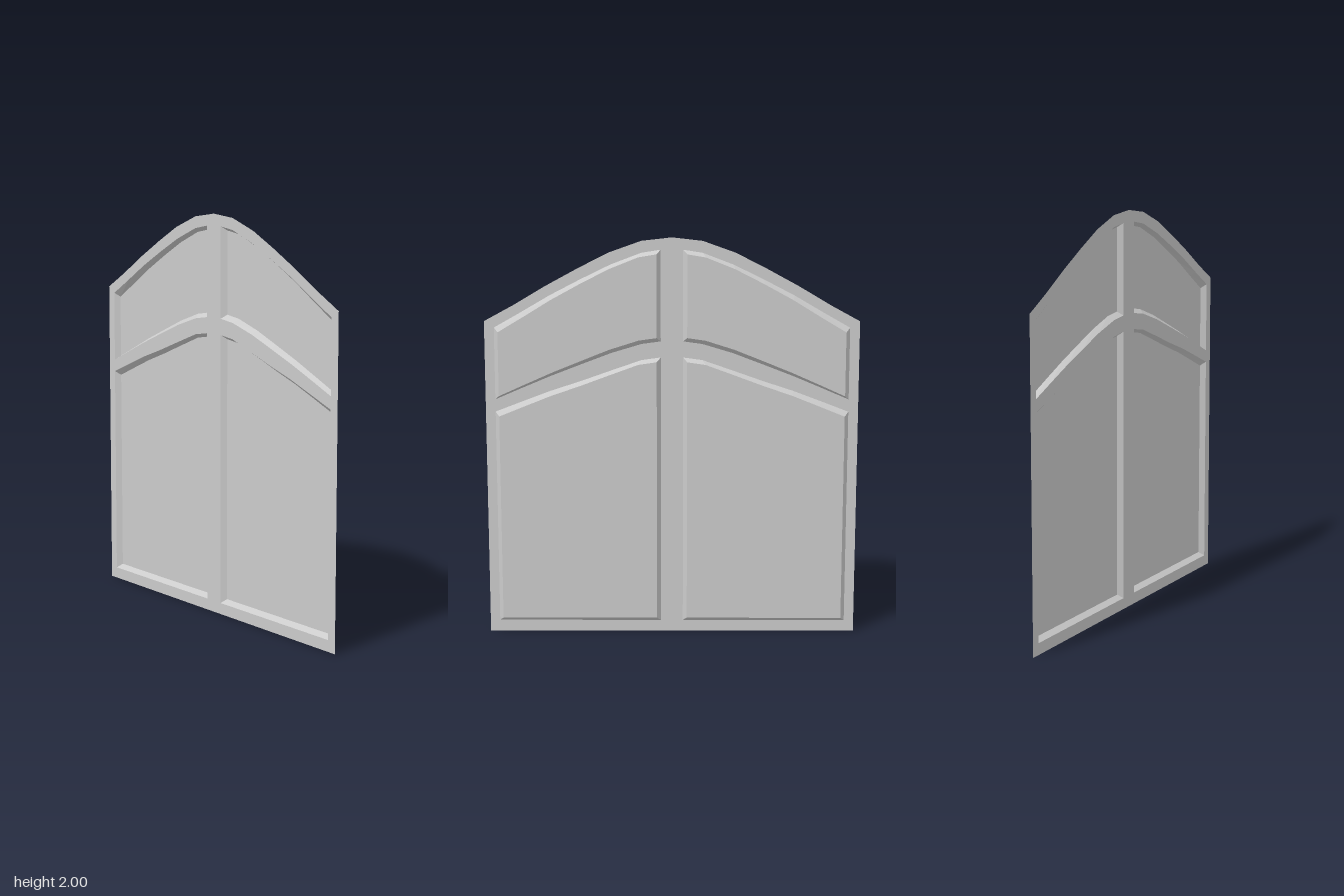
import * as THREE from 'three';

const FRONT = 0.013, BACK = -0.013, BEVEL = 0.02;
const material = new THREE.MeshStandardMaterial({ color: 0xcccccc, flatShading: true, side: THREE.DoubleSide });

// Half of the arched outer edge, from the crown to the right corner
const archHalf = [[0, 2], [0.15, 1.983], [0.31, 1.926], [0.46, 1.85], [0.62, 1.763], [0.78, 1.668], [0.923, 1.59]];

// Heights of the panel edges, sampled at the same x stations
const stations = [0.055, 0.15, 0.3, 0.45, 0.6, 0.74, 0.875];
const panels = {
  upper: {
    top: [1.94, 1.925, 1.868, 1.795, 1.717, 1.635, 1.558],
    bottom: [1.49, 1.477, 1.432, 1.375, 1.317, 1.258, 1.2],
  },
  lower: {
    top: [1.41, 1.397, 1.345, 1.292, 1.243, 1.19, 1.138],
    bottom: stations.map(() => 0.057),
  },
};

// Counter-clockwise loop around a panel, shrunk by an inset; side is +1 or -1
function panelLoop({ top, bottom }, side, inset) {
  const x0 = stations[0], x1 = stations[stations.length - 1];
  const squeeze = (x) => x0 + inset + ((x - x0) / (x1 - x0)) * (x1 - x0 - 2 * inset);
  const low = stations.map((x, i) => new THREE.Vector2(side * squeeze(x), bottom[i] + inset));
  const high = stations.map((x, i) => new THREE.Vector2(side * squeeze(x), top[i] - inset));
  const loop = [...low, ...high.reverse()];
  return side > 0 ? loop : loop.reverse();
}

// Sloping wall joining the opening in the frame to the recessed panel
function bevelGeometry(outer, inner) {
  const positions = [];
  outer.forEach((a, i) => {
    const j = (i + 1) % outer.length;
    const b = outer[j], c = inner[j], d = inner[i];
    positions.push(a.x, a.y, FRONT, b.x, b.y, FRONT, c.x, c.y, BACK);
    positions.push(a.x, a.y, FRONT, c.x, c.y, BACK, d.x, d.y, BACK);
  });
  const geometry = new THREE.BufferGeometry();
  geometry.setAttribute('position', new THREE.Float32BufferAttribute(positions, 3));
  geometry.computeVertexNormals();
  return geometry;
}

export function createModel() {
  const model = new THREE.Group();
  model.name = 'archedPanelDoor';

  const add = (parent, name, geometry, z = 0) => {
    const mesh = new THREE.Mesh(geometry, material);
    mesh.name = name;
    mesh.position.z = z;
    parent.add(mesh);
  };

  // Frame outline: base, right half of the arch, then its mirror
  const outline = [
    [-0.923, 0], [0.923, 0],
    ...[...archHalf].reverse(),
    ...archHalf.slice(1).map(([x, y]) => [-x, y]),
  ].map(([x, y]) => new THREE.Vector2(x, y));
  const frame = new THREE.Shape(outline);

  // Four recessed panels, two on each side of the centre bar
  for (const [side, sideName] of [[1, 'Left'], [-1, 'Right']]) {
    for (const [level, edges] of Object.entries(panels)) {
      const outer = panelLoop(edges, side, 0);
      const inner = panelLoop(edges, side, BEVEL);
      frame.holes.push(new THREE.Path(outer));

      const group = new THREE.Group();
      group.name = `${level}${sideName}Panel`;
      add(group, 'bevel', bevelGeometry(outer, inner));
      add(group, 'recess', new THREE.ShapeGeometry(new THREE.Shape(inner)), BACK);
      model.add(group);
    }
  }

  // Flat frame face with the panel openings cut out
  add(model, 'frame', new THREE.ShapeGeometry(frame), FRONT);
  return model;
}
